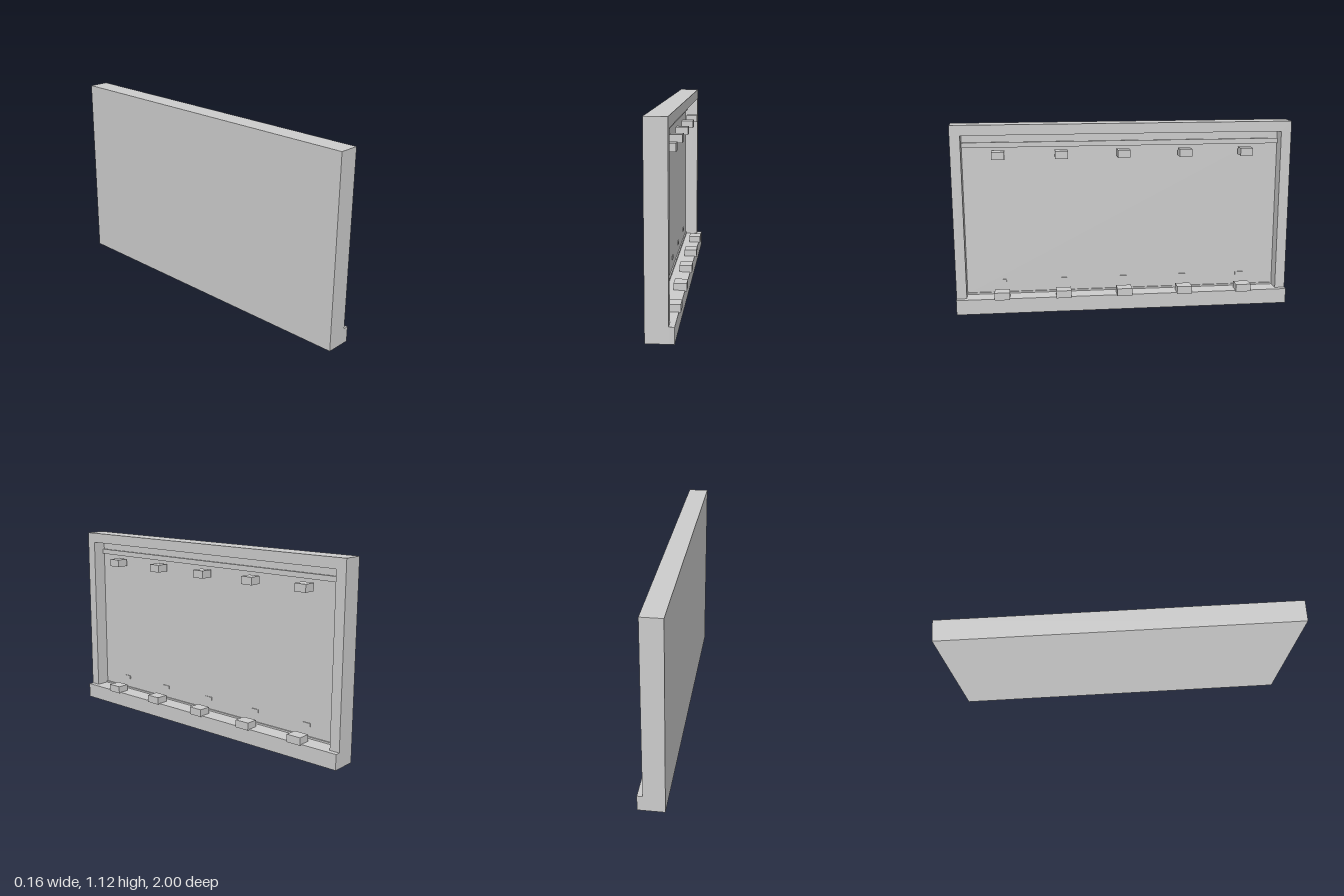
import * as THREE from 'three';

const material = new THREE.MeshStandardMaterial({ color: 0xcccccc, flatShading: true });

// Box given by its limits on each axis
function block(parent, name, [x0, x1], [y0, y1], [z0, z1]) {
  const mesh = new THREE.Mesh(new THREE.BoxGeometry(x1 - x0, y1 - y0, z1 - z0), material);
  mesh.position.set((x0 + x1) / 2, (y0 + y1) / 2, (z0 + z1) / 2);
  mesh.name = name;
  parent.add(mesh);
}

export function createModel() {
  const model = new THREE.Group();
  model.name = 'wallPanel';
  const back = -0.08, face = 0.04, recess = -0.043;
  const height = 1.12, sillTop = 0.09, inner = 0.94;

  // Shallow tray facing +x: one-piece frame with a rectangular opening
  const outline = new THREE.Shape([
    new THREE.Vector2(-1, 0), new THREE.Vector2(1, 0),
    new THREE.Vector2(1, height), new THREE.Vector2(-1, height),
  ]);
  outline.holes.push(new THREE.Path([
    new THREE.Vector2(-inner, sillTop), new THREE.Vector2(-inner, 1.06),
    new THREE.Vector2(inner, 1.06), new THREE.Vector2(inner, sillTop),
  ]));
  const frame = new THREE.Mesh(
    new THREE.ExtrudeGeometry(outline, { depth: face - back, bevelEnabled: false }), material);
  frame.rotation.y = Math.PI / 2;
  frame.position.x = back;
  frame.name = 'frame';
  model.add(frame);

  block(model, 'backPanel', [back, recess], [sillTop, 1.06], [-inner, inner]);
  block(model, 'sill', [face, 0.07], [0, sillTop], [-1, 1]);

  // Thin rails on the recessed panel
  block(model, 'upperRail', [recess, recess + 0.012], [0.98, 1.01], [-inner, inner]);
  block(model, 'lowerRail', [recess, recess + 0.008], [sillTop, 0.1], [-inner, inner]);

  // Five evenly spaced sets of pegs
  for (let i = -2; i <= 2; i++) {
    const z = i * 0.365;
    block(model, 'upperPeg', [-0.018, 0.055], [0.92, 0.965], [z - 0.037, z + 0.037]);
    block(model, 'lowerPeg', [0.005, 0.08], [0.085, 0.13], [z - 0.045, z + 0.045]);
    block(model, 'panelStud', [recess, recess + 0.005], [0.157, 0.177], [z - 0.025, z + 0.025]);
  }
  return model;
}
